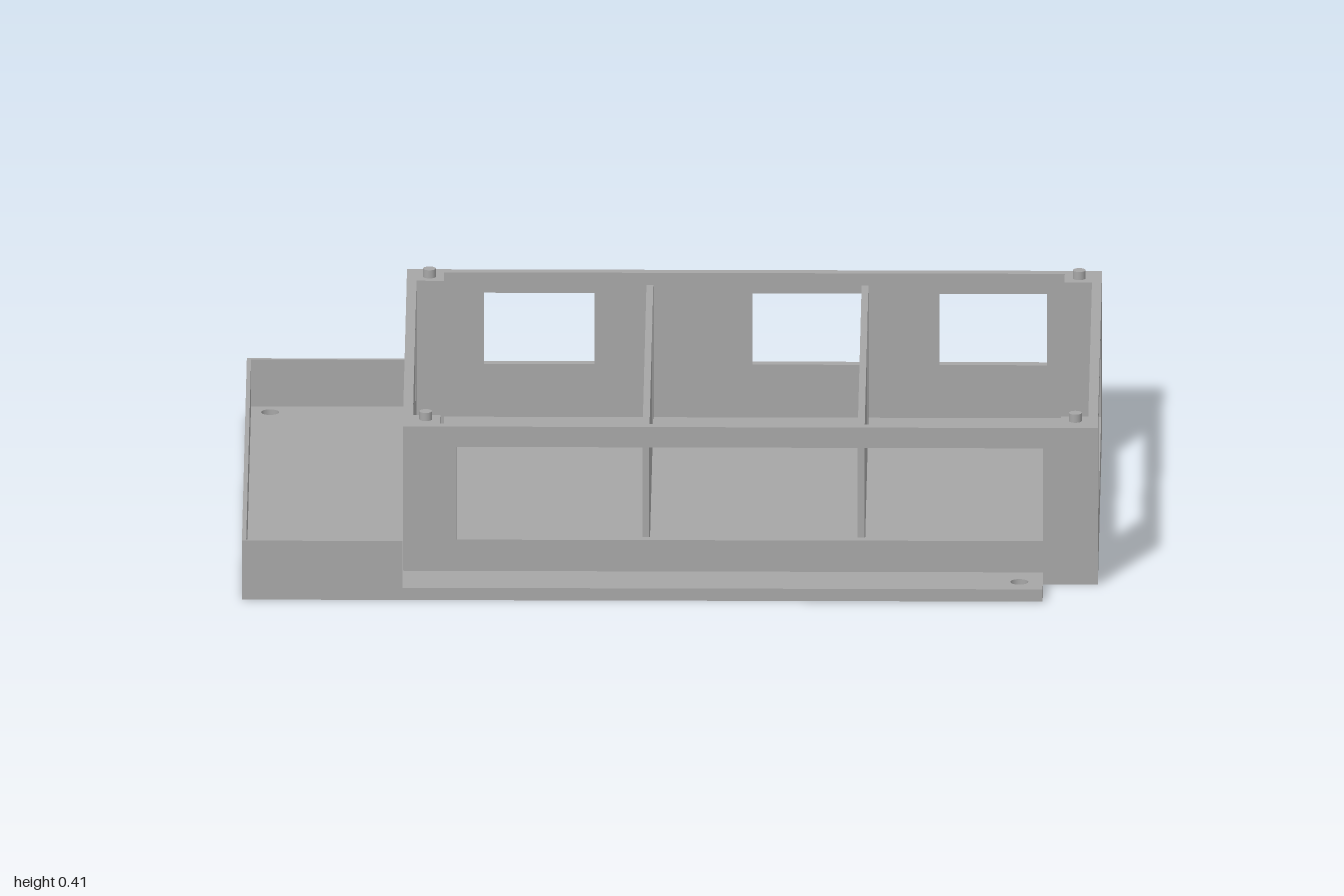
import * as THREE from 'three';

const grey = new THREE.MeshStandardMaterial({ color: 0xa6a6a6 });
grey.name = 'plain grey';

// main dimensions
const FLOOR = 0.03, RIM = 0.385, WALL = 0.023;
const X0 = -0.625, X1 = 1, Z0 = -0.625, Z1 = 0.558;   // enclosure
const PX0 = -1, PX1 = 0.872, PZ = 0.686;              // base plate
const LIP = 0.145, LIP_T = 0.01;

const rectPoints = (u0, v0, u1, v1) => [[u0, v0], [u1, v0], [u1, v1], [u0, v1]]
  .map(([u, v]) => new THREE.Vector2(u, v));

// flat panel cut from an outline, with rectangular openings
function panel(outline, openings, depth) {
  const shape = new THREE.Shape(outline);
  for (const o of openings) shape.holes.push(new THREE.Path(rectPoints(...o)));
  return new THREE.ExtrudeGeometry(shape, { depth, bevelEnabled: false });
}

export function createModel() {
  const model = new THREE.Group();
  model.name = 'electronicsTray';

  const add = (name, geometry) => {
    const mesh = new THREE.Mesh(geometry, grey);
    mesh.name = name;
    model.add(mesh);
    return mesh;
  };
  const box = (name, x0, x1, y0, y1, z0, z1) =>
    add(name, new THREE.BoxGeometry(x1 - x0, y1 - y0, z1 - z0))
      .position.set((x0 + x1) / 2, (y0 + y1) / 2, (z0 + z1) / 2);
  // panel in the x-y plane, its back face at z
  const panelX = (name, outline, openings, z) =>
    add(name, panel(outline, openings, WALL).translate(0, 0, z));
  // panel in the z-y plane, spanning x to x + thickness
  const panelZ = (name, outline, openings, x, thickness) =>
    add(name, panel(outline, openings, thickness).rotateY(-Math.PI / 2).translate(x + thickness, 0, 0));

  // base plate with the enclosure floor sticking out on one end, and screw holes
  const base = new THREE.Shape([
    [PX0, -PZ], [PX1, -PZ], [PX1, -Z1], [X1, -Z1],
    [X1, -Z0], [PX1, -Z0], [PX1, PZ], [PX0, PZ],
  ].map(([x, y]) => new THREE.Vector2(x, y)));
  for (const x of [-0.945, 0.817]) for (const z of [-0.632, 0.63]) {
    base.holes.push(new THREE.Path().absarc(x, -z, 0.021, 0, Math.PI * 2, true));
  }
  add('basePlate', new THREE.ExtrudeGeometry(base, { depth: FLOOR, bevelEnabled: false, curveSegments: 24 })
    .rotateX(-Math.PI / 2));

  // low lip around the open end of the plate
  box('endLip', PX0, PX0 + LIP_T, FLOOR, LIP, -PZ, PZ);
  box('frontLip', PX0 + LIP_T, X0, FLOOR, LIP, PZ - LIP_T, PZ);
  box('backLip', PX0 + LIP_T, X0, FLOOR, LIP, -PZ, -PZ + LIP_T);

  // enclosure walls with their windows
  const longWall = rectPoints(X0, FLOOR, X1, RIM);
  const shortWall = rectPoints(Z0 + WALL, FLOOR, Z1 - WALL, RIM);
  panelX('frontWall', longWall, [[-0.5, 0.107, 0.872, 0.335]], Z1 - WALL);
  panelX('backWall', longWall, [[-0.445, 0.16, -0.187, 0.335], [0.183, 0.16, 0.44, 0.335],
    [0.62, 0.16, 0.872, 0.335]], Z0);
  panelZ('leftWall', shortWall, [[-0.375, 0.107, 0.316, 0.335]], X1 - WALL, WALL);
  panelZ('rightWall', shortWall, [[-0.445, 0.16, -0.187, 0.335], [0.125, 0.16, 0.375, 0.335]], X0, WALL);

  // inner partitions, each with a doorway near the back wall
  const a = Z0 + WALL, b = Z1 - WALL, top = 0.355, door = 0.31;
  const partition = [[a, FLOOR], [-0.5, FLOOR], [-0.5, door], [-0.4, door], [-0.4, FLOOR],
    [b, FLOOR], [b, top], [a, top]].map(([z, y]) => new THREE.Vector2(z, y));
  for (const x of [-0.065, 0.438]) panelZ('partition', partition, [], x, 0.016);

  // corner posts with locating pegs
  const post = 0.064;
  for (const sx of [0, 1]) for (const sz of [0, 1]) {
    const x = sx ? X1 - WALL - post : X0 + WALL;
    const z = sz ? Z1 - WALL - post : Z0 + WALL;
    box('cornerPost', x, x + post, FLOOR, RIM, z, z + post);
    add('cornerPeg', new THREE.CylinderGeometry(0.015, 0.015, 0.02, 24))
      .position.set(x + post / 2 + (sx ? 0.002 : -0.002), RIM + 0.01, z + post / 2);
  }
  return model;
}
